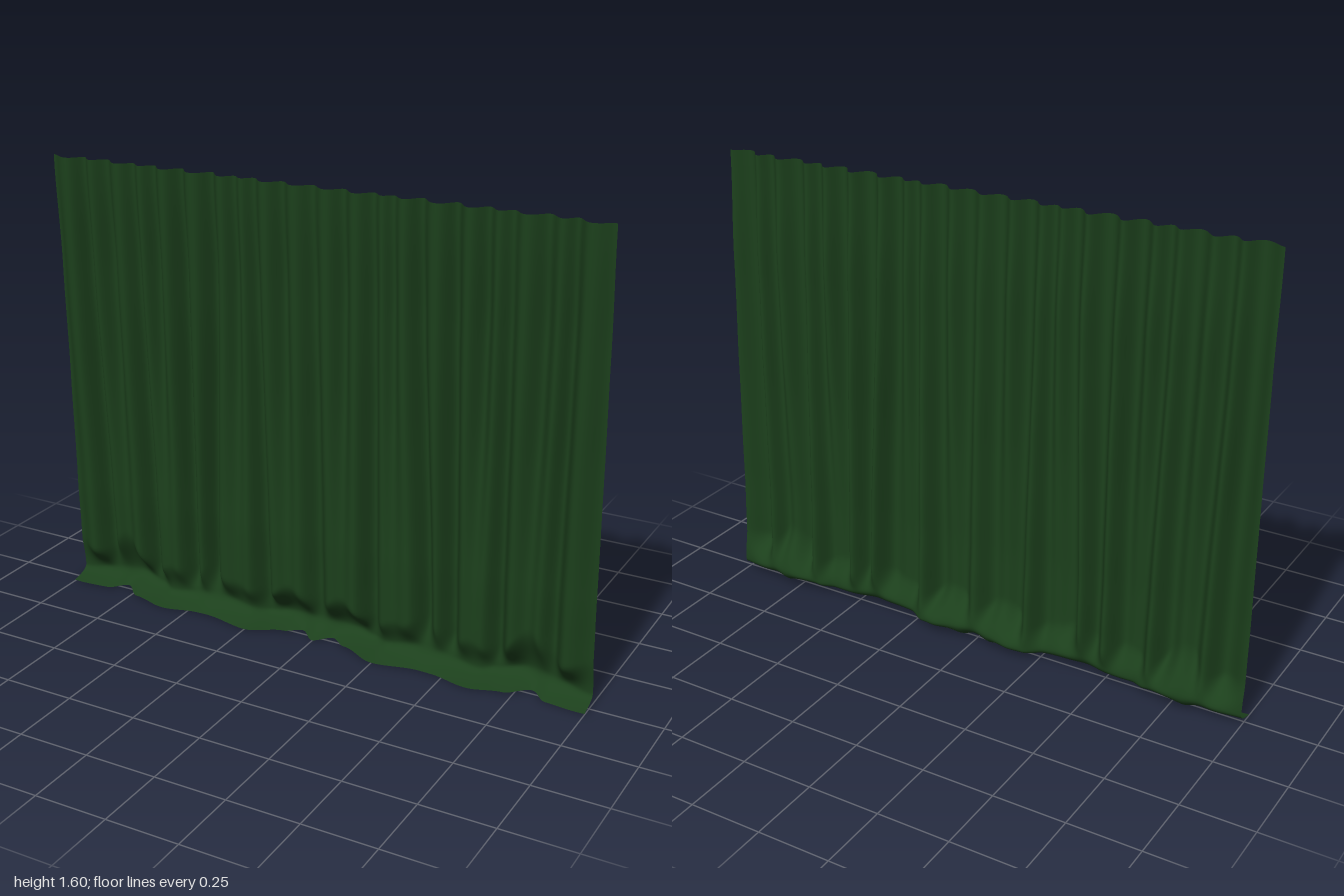
import * as THREE from 'three';

const HEIGHT = 1.6;

// Smooth interpolation through [position, value] pairs
function ease(points, p) {
  if (p <= points[0][0]) return points[0][1];
  for (let i = 1; i < points.length; i++) {
    const [x0, a] = points[i - 1], [x1, b] = points[i];
    if (p <= x1) return a + (b - a) * THREE.MathUtils.smoothstep(p, x0, x1);
  }
  return points[points.length - 1][1];
}

// Creases on one half, mirrored to the other:
// [x at top, x at bottom, depth at top, depth at bottom, width at top, width at bottom]
const creases = [
  [0.0, 0.0, 0.85, 0.9, 0.032, 0.04], [0.11, 0.105, 0.85, 0.3, 0.03, 0.04],
  [0.215, 0.21, 0.85, 0.95, 0.03, 0.036], [0.285, 0.3, 0.75, 0.25, 0.026, 0.04],
  [0.378, 0.415, 1.0, 0.95, 0.03, 0.03], [0.495, 0.505, 1.0, 0.95, 0.03, 0.034],
  [0.6, 0.595, 0.9, 0.25, 0.03, 0.04], [0.68, 0.67, 0.8, 0.95, 0.028, 0.034],
  [0.79, 0.775, 0.95, 0.45, 0.034, 0.04], [0.88, 0.86, 0.85, 0.85, 0.028, 0.034],
  [1.0, 1.0, 0.65, 0.6, 0.04, 0.06],
];

// Front and back limits of the folds by height
const ridge = [[0, 0.036], [0.4, 0.045], [1.0, 0.056], [1.6, 0.061]];
const valley = [[0, -0.06], [0.2, -0.05], [0.4, -0.041], [0.8, -0.031], [1.2, -0.015], [1.6, 0.01]];

// By |x|: slack cloth bulging back, how high the slack reaches, and the hem kicking forward
const belly = [[0, -0.05], [0.14, -0.066], [0.2, -0.056], [0.27, -0.022], [0.37, -0.03], [0.43, -0.022],
  [0.5, -0.03], [0.6, -0.02], [0.66, -0.045], [0.76, -0.07], [0.88, -0.05], [1, -0.03]];
const slackTop = [[0, 0.13], [0.1, 0.18], [0.21, 0.12], [0.33, 0.15], [0.42, 0.18],
  [0.5, 0.13], [0.58, 0.15], [0.66, 0.12], [0.79, 0.23], [0.88, 0.14], [1, 0.16]];
const hem = [[0, 0.03], [0.06, -0.015], [0.12, 0.02], [0.25, 0.068], [0.42, 0.048],
  [0.47, 0.048], [0.6, 0.068], [0.72, 0.045], [0.8, -0.015], [0.86, 0.03], [1, 0.042]];

// Depth of the cloth at a given place
function clothZ(x, y) {
  const ax = Math.abs(x);
  const up = THREE.MathUtils.smoothstep(y, 0.1, 1.4);
  const mix = (low, top) => THREE.MathUtils.lerp(low, top, up);
  let open = 1;
  for (const [xTop, xLow, dTop, dLow, wTop, wLow] of creases) {
    const offset = (ax - mix(xLow, xTop)) / mix(wLow, wTop);
    open *= 1 - mix(dLow, dTop) * Math.exp(-offset * offset);
  }
  // gentle swell between the creases
  open *= 1 - 0.04 * (1 + Math.sin(ax * 17 + 1));
  const front = ease(ridge, y), back = ease(valley, y);
  let z = back + (front - back) * open;

  const slack = 1 - THREE.MathUtils.smoothstep(y, 0.04, ease(slackTop, ax));
  z += (ease(belly, ax) - z) * slack;
  const kickTop = 0.055 + 0.015 * Math.cos(ax * 15.7);
  const kick = Math.max(0, 1 - y / kickTop) ** 2.5;
  return z + (ease(hem, ax) - z) * kick;
}

export function createModel() {
  const group = new THREE.Group();
  group.name = 'curtain';

  // Hanging cloth: a fine sheet, with rows crowded towards the floor
  const geometry = new THREE.PlaneGeometry(2, 1, 440, 80);
  const pos = geometry.attributes.position;
  for (let i = 0; i < pos.count; i++) {
    const x = pos.getX(i);
    const y = HEIGHT * (pos.getY(i) + 0.5) ** 2.2;
    // the hem lifts slightly off the floor in places
    const lift = 0.003 * (1 + Math.sin(Math.abs(x) * 19)) * Math.max(0, 1 - y / 0.1);
    pos.setXYZ(i, x, y + lift, clothZ(x, y));
  }
  geometry.computeVertexNormals();

  const cloth = new THREE.Mesh(
    geometry,
    new THREE.MeshStandardMaterial({ color: 0x1c401c, side: THREE.DoubleSide })
  );
  cloth.name = 'drapedCloth';
  group.add(cloth);
  return group;
}
